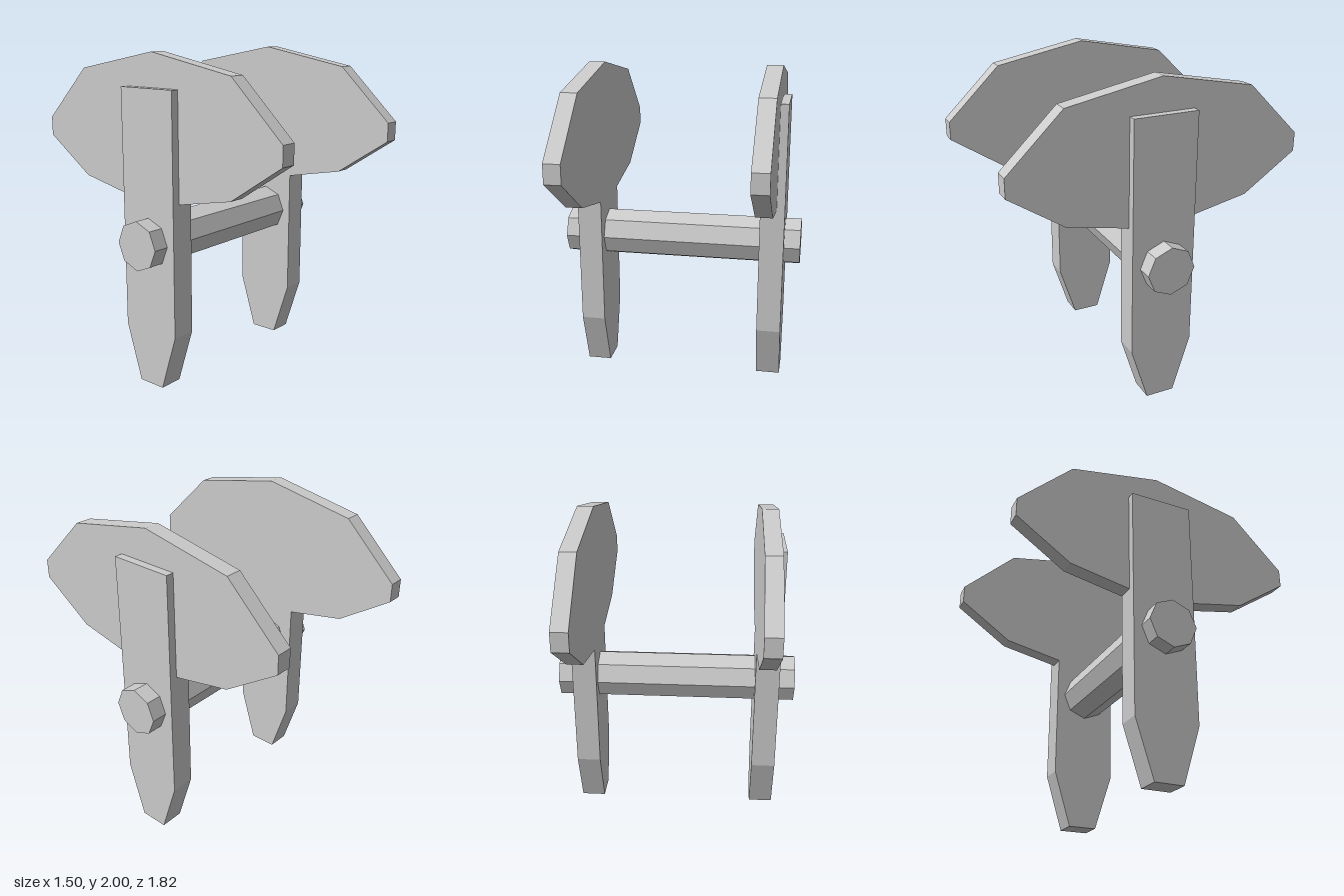
import * as THREE from 'three';

const material = new THREE.MeshStandardMaterial({ color: 0xcccccc, flatShading: true });

// Flat slab: half outline of [z, y] points (bottom to top), mirrored in z,
// with its thickness running along x from x0 to x1.
function slab(name, half, x0, x1) {
  const mirrored = half.map(([z, y]) => [-z, y]).reverse().filter(([z]) => z !== 0);
  const shape = new THREE.Shape([...half, ...mirrored].map(([z, y]) => new THREE.Vector2(z, y)));
  const geometry = new THREE.ExtrudeGeometry(shape, { depth: x1 - x0, bevelEnabled: false });
  geometry.rotateY(Math.PI / 2).translate(x0, 0, 0);
  const mesh = new THREE.Mesh(geometry, material);
  mesh.name = name;
  return mesh;
}

export function createModel() {
  const model = new THREE.Group();
  model.name = 'axleStand';

  // Two upright sides, each a tapered leg lapped over a faceted plate
  const legHalf = [[0.09, 0], [0.2, 0.35], [0.2, 1.15]];
  const tongueHalf = [[0.2, 1.15], [0.2, 1.8]];
  const plateHalf = [[0.2, 1.15], [0.575, 1.225], [0.91, 1.45], [0.91, 1.565], [0.575, 1.89], [0, 2]];
  for (const [side, s] of [['left', 1], ['right', -1]]) {
    const upright = new THREE.Group();
    upright.name = side + 'Upright';
    const span = (a, b) => (s > 0 ? [a, b] : [-b, -a]);
    upright.add(
      slab(side + 'Leg', legHalf, ...span(0.5, 0.65)),
      slab(side + 'LegTongue', tongueHalf, ...span(0.6, 0.65)),
      slab(side + 'Plate', plateHalf, ...span(0.5, 0.6)),
    );
    model.add(upright);
  }

  // Octagonal crossbar passing through both legs
  const crossbar = new THREE.Mesh(new THREE.CylinderGeometry(0.15, 0.15, 1.5, 8), material);
  crossbar.name = 'crossbar';
  crossbar.rotation.z = Math.PI / 2;
  crossbar.position.y = 0.9;
  model.add(crossbar);

  return model;
}
